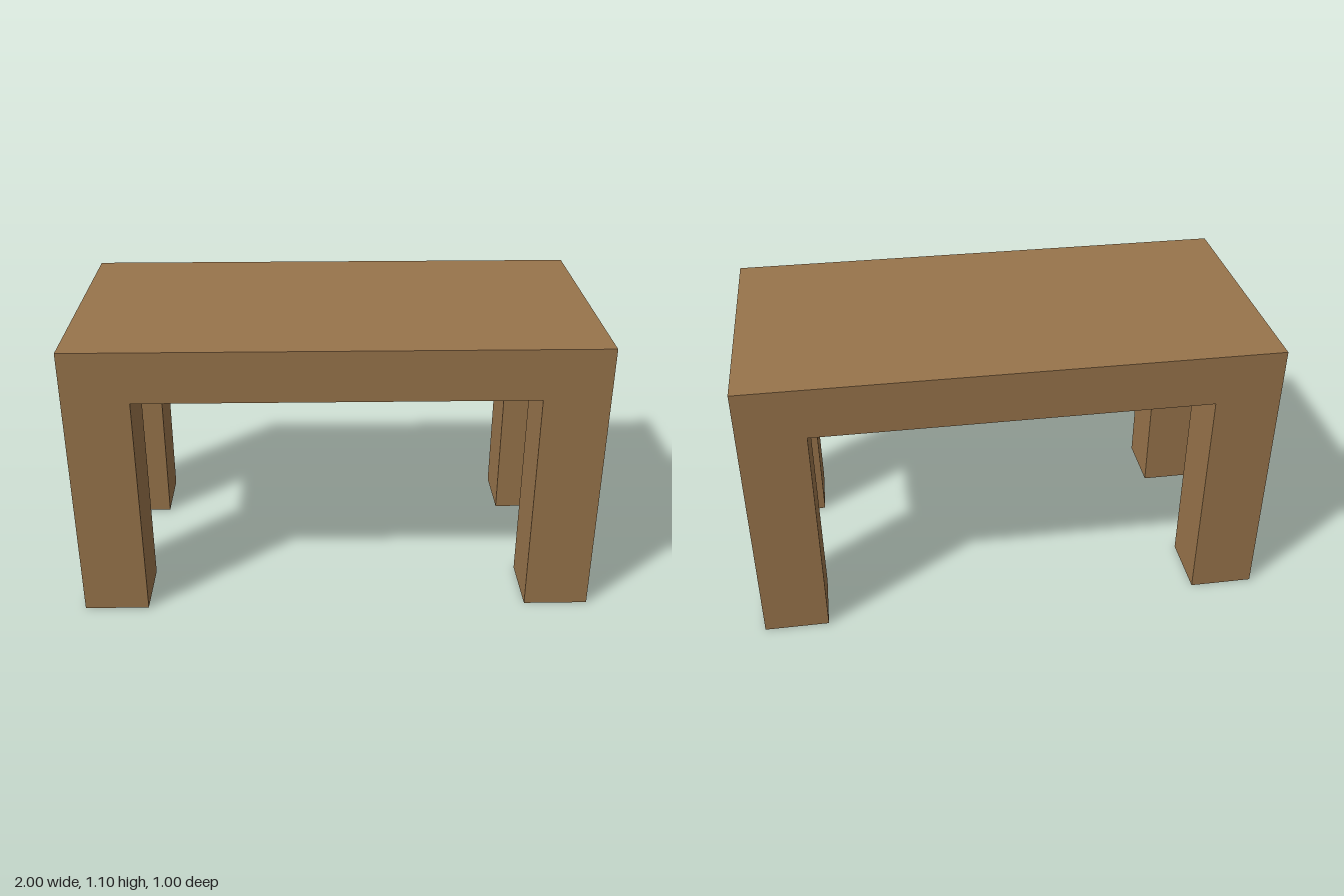
import * as THREE from 'three';

export function createModel() {
  const model = new THREE.Group();
  model.name = 'table';

  const wood = new THREE.MeshStandardMaterial({ color: 0x98744b });
  wood.name = 'brown wood';
  const footGrey = new THREE.MeshStandardMaterial({ color: 0xb2b2b2 });
  footGrey.name = 'grey foot';

  const width = 2, depth = 1, height = 1.1;
  const topThickness = 0.2, legSize = 0.25;
  const legHeight = height - topThickness;

  // Thick slab top
  const top = new THREE.Mesh(new THREE.BoxGeometry(width, topThickness, depth), wood);
  top.name = 'tableTop';
  top.position.y = height - topThickness / 2;
  model.add(top);

  // Four square corner legs, grey on the underside only
  const legGeometry = new THREE.BoxGeometry(legSize, legHeight, legSize);
  const legMaterials = [wood, wood, wood, footGrey, wood, wood];
  for (const [xName, sx] of [['Left', 1], ['Right', -1]]) {
    for (const [zName, sz] of [['front', 1], ['back', -1]]) {
      const leg = new THREE.Mesh(legGeometry, legMaterials);
      leg.name = `${zName}${xName}Leg`;
      leg.position.set(sx * (width - legSize) / 2, legHeight / 2, sz * (depth - legSize) / 2);
      model.add(leg);
    }
  }

  return model;
}
